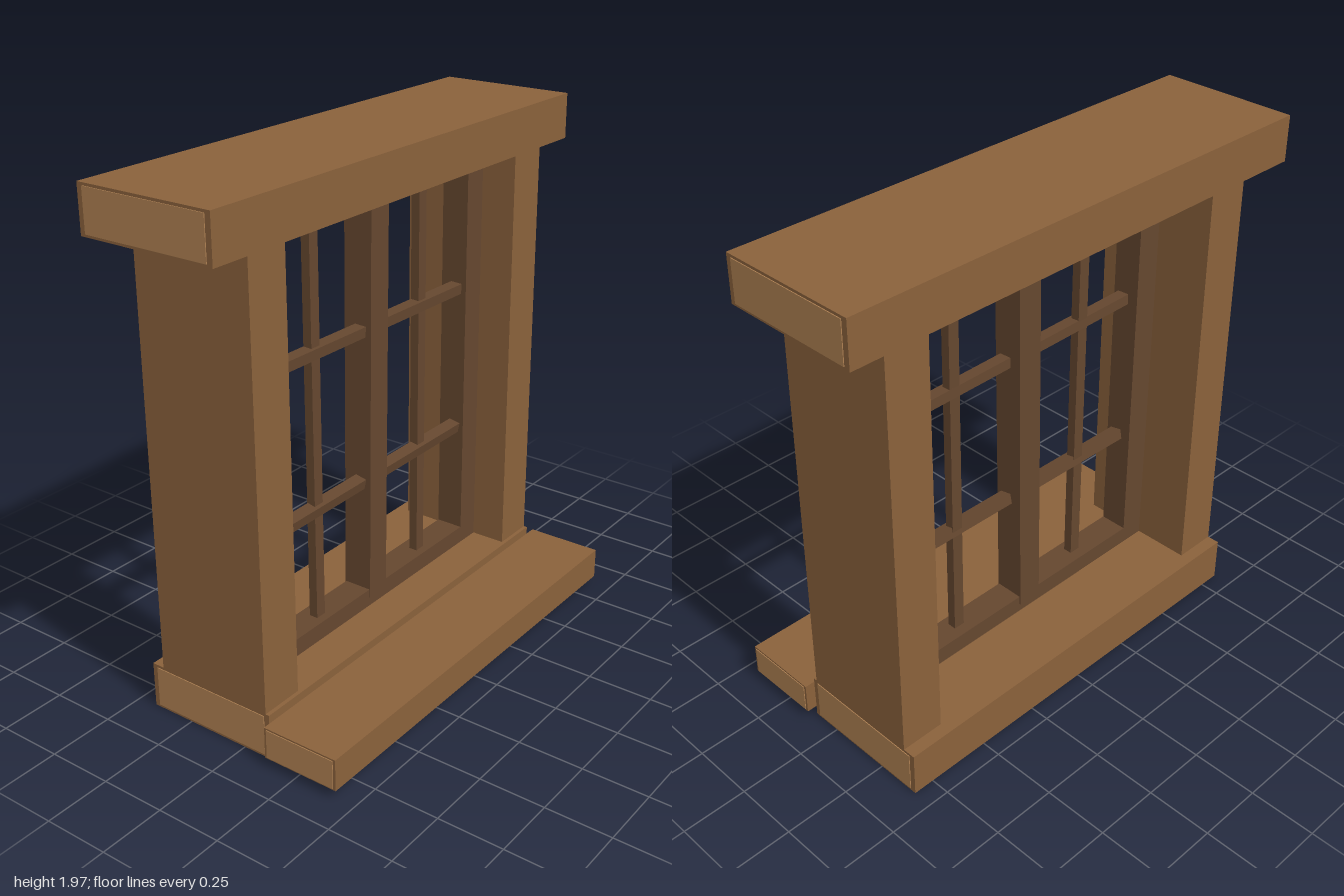
import * as THREE from 'three';

export function createModel() {
  const model = new THREE.Group();
  model.name = 'woodenWindow';

  const material = (name, color) => {
    const m = new THREE.MeshStandardMaterial({ color });
    m.name = name;
    return m;
  };
  const wood = material('brownWood', 0x8a613b);
  const endGrain = material('lightEndGrain', 0xae8052);
  const darkWood = material('darkWood', 0x65472f);

  // Box given by its lower and upper limits on each axis
  function block(name, mat, [x0, x1], [y0, y1], [z0, z1], parent = model) {
    const mesh = new THREE.Mesh(new THREE.BoxGeometry(x1 - x0, y1 - y0, z1 - z0), mat);
    mesh.position.set((x0 + x1) / 2, (y0 + y1) / 2, (z0 + z1) / 2);
    mesh.name = name;
    parent.add(mesh);
    return mesh;
  }

  // Horizontal timber with a thin plate of end grain at both ends
  function timber(name, half, [y0, y1], [z0, z1], edgeY, edgeZ) {
    const group = new THREE.Group();
    group.name = name;
    const inner = half - 0.003;
    block(name + 'Body', wood, [-inner, inner], [y0, y1], [z0, z1], group);
    for (const s of [-1, 1]) {
      const ends = s > 0 ? [inner, half] : [-half, -inner];
      block(name + 'EndGrain', endGrain, ends, [y0 + edgeY, y1 - edgeY], [z0 + edgeZ, z1 - edgeZ], group);
    }
    model.add(group);
  }

  // Lintel, base beam and projecting sill
  timber('lintel', 1, [1.796, 1.968], [-0.425, 0.115], 0.01, 0.022);
  timber('baseBeam', 0.835, [0, 0.176], [-0.425, 0.115], 0.01, 0.022);
  timber('sill', 0.87, [0.03, 0.152], [0.122, 0.425], 0.006, 0.01);

  // Side posts and the darker sash stiles inside them
  for (const s of [-1, 1]) {
    const span = (a, b) => (s > 0 ? [a, b] : [-b, -a]);
    const side = s > 0 ? 'left' : 'right';
    block(side + 'Post', wood, span(0.66, 0.832), [0.176, 1.796], [-0.375, 0.1]);
    block(side + 'SashStile', darkWood, span(0.56, 0.66), [0.176, 1.796], [-0.15, -0.04]);
    // Thin upright glazing bar
    block(side + 'UprightBar', darkWood, span(0.292, 0.337), [0.24, 1.738], [-0.107, -0.072]);
  }

  // Sash rails
  block('bottomSashRail', darkWood, [-0.56, 0.56], [0.176, 0.245], [-0.15, -0.04]);
  block('topSashRail', darkWood, [-0.56, 0.56], [1.732, 1.796], [-0.15, -0.04]);

  // Leaning centre mullion
  const mullion = block('centreMullion', darkWood, [-0.052, 0.049], [0.21, 1.765], [-0.154, -0.037]);
  mullion.rotation.z = -0.0125;

  // Slightly crooked horizontal glazing bars
  for (const [name, y, tilt, roll] of [
    ['upperCrossBar', 1.278, -0.013, 0.05],
    ['lowerCrossBar', 0.687, 0.008, 0.2],
  ]) {
    const bar = block(name, darkWood, [-0.57, 0.57], [y - 0.02, y + 0.02], [-0.108, -0.06]);
    bar.rotation.set(roll, 0, tilt);
  }

  return model;
}
